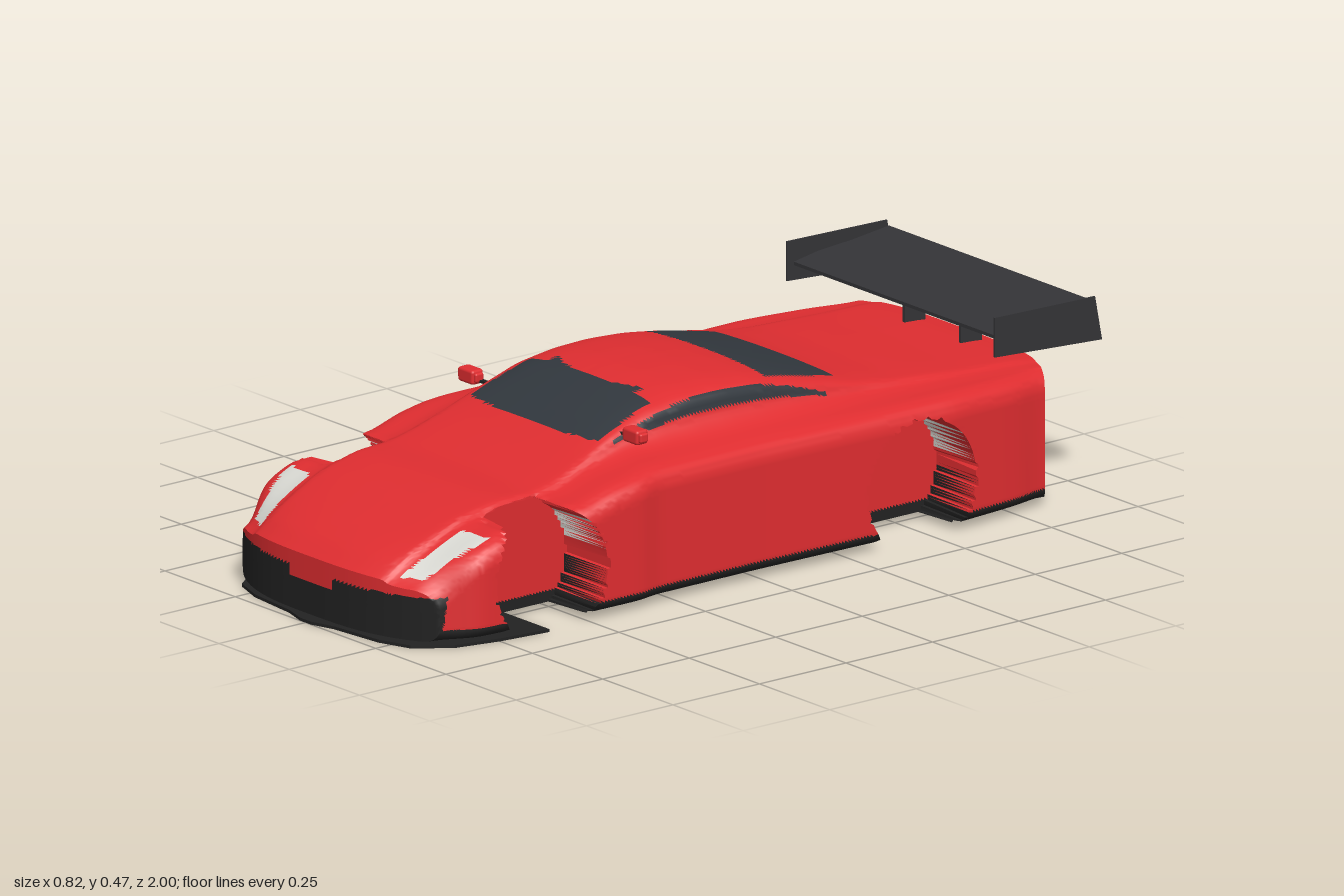
import * as THREE from 'three';
import { toCreasedNormals } from 'three/addons/utils/BufferGeometryUtils.js';
import { RoundedBoxGeometry } from 'three/addons/geometries/RoundedBoxGeometry.js';

const mat = (color, double) => new THREE.MeshStandardMaterial({ color, side: double ? THREE.DoubleSide : THREE.FrontSide });
const paint = mat(0xdf2d30), trim = mat(0x222222, true), glass = mat(0x31373d), lamp = mat(0xd8d8d2), carbon = mat(0x343437, true);

function add(parent, name, geometry, material, x = 0, y = 0, z = 0) {
  const mesh = new THREE.Mesh(geometry, material);
  mesh.name = name;
  mesh.position.set(x, y, z);
  parent.add(mesh);
  return mesh;
}

// Piecewise profile along z, softened by averaging neighbouring samples
function profile(points) {
  const linear = z => {
    if (z <= points[0][0]) return points[0][1];
    for (let i = 1; i < points.length; i++) {
      const [z0, v0] = points[i - 1], [z1, v1] = points[i];
      if (z <= z1) return v0 + (v1 - v0) * (z - z0) / (z1 - z0);
    }
    return points[points.length - 1][1];
  };
  return z => (linear(z - 0.022) + 2 * linear(z) + linear(z + 0.022)) / 4;
}

const topLine = profile([[-0.9, 0.32], [-0.85, 0.326], [-0.7, 0.332], [-0.6, 0.34], [-0.5, 0.347], [-0.4, 0.363], [-0.3, 0.388],
  [-0.2, 0.412], [-0.1, 0.43], [0, 0.438], [0.1, 0.436], [0.2, 0.42], [0.3, 0.38], [0.4, 0.333], [0.47, 0.305], [0.55, 0.285],
  [0.65, 0.284], [0.75, 0.264], [0.9, 0.205], [0.96, 0.176], [0.985, 0.148]]);
const shoulderLine = profile([[-0.9, 0.312], [-0.6, 0.318], [0, 0.318], [0.3, 0.316], [0.42, 0.295], [0.5, 0.27],
  [0.65, 0.262], [0.75, 0.24], [0.9, 0.178], [0.985, 0.132]]);
const halfWidth = profile([[-0.9, 0.365], [-0.7, 0.388], [-0.55, 0.402], [-0.3, 0.396], [0, 0.39], [0.3, 0.392], [0.35, 0.404],
  [0.5, 0.402], [0.7, 0.396], [0.8, 0.39], [0.9, 0.368], [0.985, 0.345]]);
const cabinWidth = profile([[-0.9, 0.29], [-0.4, 0.27], [0, 0.262], [0.3, 0.255], [0.5, 0.27], [0.985, 0.24]]);

const wells = [{ z: 0.61, y: 0.13 }, { z: -0.46, y: 0.13 }], wellRadius = 0.155, wellDepth = 0.26;
const REAR = -0.9, FRONT = 0.985;
// Samples used on each span of the half section, floor to roof
const spans = [10, 2, 2, 36, 4, 4, 4, 4, 5, 4, 7, 8];

// Right half of the body section at z, from floor centre to roof centre
function halfSection(z) {
  const t = topLine(z), s = shoulderLine(z), w = halfWidth(z), c = cabinWidth(z), h = t - s;
  const pts = [[0, 0.018], [w - 0.03, 0.018], [w - 0.008, 0.024], [w + 0.004, 0.042], [w, s - 0.045], [w - 0.012, s - 0.014],
    [w - 0.04, s], [c + 0.035, s + 0.14 * h], [c, s + 0.38 * h], [c - 0.014, s + 0.72 * h], [c - 0.055, s + 0.88 * h],
    [0.1, s + 0.98 * h], [0, t]].map(p => new THREE.Vector3(p[0], p[1], 0));
  const curve = new THREE.CatmullRomCurve3(pts, false, 'centripetal');
  const out = [];
  spans.forEach((n, k) => {
    for (let i = 0; i < n; i++) {
      const f = i / n;
      // straight floor and sides, curved elsewhere
      out.push(k === 0 || k === 3 ? pts[k].clone().lerp(pts[k + 1], f) : curve.getPoint((k + f) / spans.length));
    }
  });
  out.push(pts[pts.length - 1]);
  return out;
}

// Bends the ends round in plan and presses the wheel wells inwards
function shapePoint(p, z) {
  const w = halfWidth(z), u = Math.abs(p.x) / w;
  const f = THREE.MathUtils.smoothstep(z, 0.78, FRONT), r = THREE.MathUtils.smoothstep(-z, 0.72, -REAR);
  let x = p.x, y = p.y, zz = z - 0.085 * f * u ** 3 + 0.06 * r * u ** 4;
  for (const well of wells) {
    const dz = zz - well.z, dy = y - well.y, d = Math.hypot(dz, dy);
    if (Math.abs(x) <= wellDepth) continue;
    if (d < wellRadius) x = Math.sign(x) * wellDepth;
    else if (d < wellRadius + 0.007) {
      zz = well.z + dz * wellRadius / d;
      y = well.y + dy * wellRadius / d;
    }
  }
  return [x, y, zz];
}

// Chooses the finish of a body face from its centre and normal
function finish(c, n) {
  const x = Math.abs(c.x), y = c.y;
  if (y < 0.045) return 'lowerTrim';
  if (n.z > 0.15) {
    if (y < 0.12 && x < 0.352 && (x > 0.077 || y < 0.093)) return 'lowerTrim';
    const t = (y - 0.155) / 0.083;
    if (t > 0 && t < 1 && x > 0.25 + 0.022 * t && x < 0.3 + 0.056 * t) return 'headlights';
    if (y > 0.353 && y < 0.423 && x < 0.225 - 0.2 * (y - 0.355)) return 'windows';
  }
  if (n.z < -0.25 && y > 0.09 && y < 0.2 && x > 0.21) return 'lowerTrim';
  if (n.y > 0.5 && x < 0.217 && c.z < -0.15 && c.z > -0.35) return 'windows';
  const u = (c.z - 0.01) / 0.3;
  if (x > 0.19 && Math.abs(u) < 1 && y < 0.411 - 0.058 * u * u && y > 0.376 - 0.03 * u * u) return 'windows';
  return 'paintwork';
}

function buildBody(group) {
  const rings = [], steps = 210, capSteps = 9;
  const ring = (z, squash) => {
    const half = halfSection(z), mid = (half[0].y + half[half.length - 1].y) / 2;
    const full = [...half, ...half.slice(1, -1).reverse().map(p => new THREE.Vector3(-p.x, p.y, 0))];
    rings.push(full.map(p => shapePoint(new THREE.Vector3(p.x, THREE.MathUtils.lerp(p.y, mid, squash), 0), z)));
  };
  for (let k = 0; k < capSteps; k++) ring(REAR, 1 - k / capSteps);
  for (let i = 0; i <= steps; i++) ring(REAR + (FRONT - REAR) * i / steps, 0);
  for (let k = 1; k <= capSteps; k++) ring(FRONT, k / capSteps);

  const m = rings[0].length, index = [];
  const flat = rings.flat();
  const v = flat.map(p => new THREE.Vector3(...p));
  const face = (a, b, c) => {
    const tri = new THREE.Triangle(v[a], v[b], v[c]);
    if (tri.getArea() > 1e-9) index.push(a, b, c);
  };
  for (let i = 0; i < rings.length - 1; i++) for (let j = 0; j < m; j++) {
    const a = i * m + j, b = i * m + (j + 1) % m;
    face(a, b, b + m);
    face(a, b + m, a + m);
  }
  let geo = new THREE.BufferGeometry();
  geo.setAttribute('position', new THREE.Float32BufferAttribute(flat.flat(), 3));
  geo.setIndex(index);
  geo = toCreasedNormals(geo, 0.75);

  // Split the shell into its finishes
  const pos = geo.attributes.position, parts = { paintwork: [], lowerTrim: [], headlights: [], windows: [] };
  const tri = new THREE.Triangle(), c = new THREE.Vector3(), n = new THREE.Vector3();
  for (let i = 0; i < pos.count; i += 3) {
    tri.setFromAttributeAndIndices(pos, i, i + 1, i + 2);
    tri.getMidpoint(c);
    tri.getNormal(n);
    parts[finish(c, n)].push(i, i + 1, i + 2);
  }
  const materials = { paintwork: paint, lowerTrim: trim, headlights: lamp, windows: glass };
  for (const name in parts) {
    const g = new THREE.BufferGeometry();
    for (const key of ['position', 'normal']) {
      const src = geo.attributes[key].array;
      g.setAttribute(key, new THREE.Float32BufferAttribute(parts[name].flatMap(i => [src[3 * i], src[3 * i + 1], src[3 * i + 2]]), 3));
    }
    add(group, name, g, materials[name]);
  }
}

// Extrudes a (z, y) outline sideways, centred on x = 0
function sidePlate(points, width) {
  const shape = new THREE.Shape(points.map(([z, y]) => new THREE.Vector2(-z, y)));
  return new THREE.ExtrudeGeometry(shape, { depth: width, bevelEnabled: false }).translate(0, 0, -width / 2).rotateY(Math.PI / 2);
}

// Extrudes the right half of an (x, z) plan, mirrored, upwards from y = 0
function floorPlate(half, height) {
  const outline = [...half, ...half.slice().reverse().map(([x, z]) => [-x, z])];
  const shape = new THREE.Shape(outline.map(([x, z]) => new THREE.Vector2(x, -z)));
  return new THREE.ExtrudeGeometry(shape, { depth: height, bevelEnabled: false }).rotateX(-Math.PI / 2);
}

export function createModel() {
  const car = new THREE.Group();
  car.name = 'raceCar';
  const body = new THREE.Group();
  body.name = 'body';
  car.add(body);
  buildBody(body);

  // Front splitter and rear diffuser
  add(car, 'frontSplitter', floorPlate([[0.02, 1], [0.08, 0.982], [0.22, 0.968], [0.3, 0.94], [0.36, 0.86], [0.385, 0.75], [0.4, 0.62]], 0.007), trim, 0, 0.002);
  add(car, 'rearDiffuser', floorPlate([[0.32, -0.72], [0.34, -0.86], [0.28, -0.905]], 0.008), trim, 0, 0.014);
  for (const x of [-0.27, -0.09, 0.09, 0.27])
    add(car, 'diffuserFin', new THREE.BoxGeometry(0.006, 0.045, 0.09), trim, x, 0.04, -0.86);

  // Rear wing
  const wing = new THREE.Group();
  wing.name = 'rearWing';
  car.add(wing);
  add(wing, 'wingBlade', sidePlate([[-0.71, 0.416], [-0.71, 0.424], [-0.78, 0.436], [-0.88, 0.443], [-0.985, 0.455],
    [-0.985, 0.449], [-0.88, 0.43], [-0.78, 0.417]], 0.738), carbon);
  for (const s of [-1, 1]) {
    add(wing, 'endPlate', sidePlate([[-0.69, 0.475], [-0.98, 0.469], [-1, 0.364], [-0.69, 0.382]], 0.004), carbon, s * 0.37);
    add(wing, 'wingSupport', sidePlate([[-0.81, 0.31], [-0.81, 0.43], [-0.87, 0.436], [-0.87, 0.31]], 0.008), carbon, s * 0.1);

    // Door mirrors
    const mirror = new THREE.Group();
    mirror.name = s > 0 ? 'leftMirror' : 'rightMirror';
    car.add(mirror);
    add(mirror, 'mirrorHousing', new RoundedBoxGeometry(0.054, 0.034, 0.034, 2, 0.007), paint, s * 0.293, 0.373, 0.285);
    add(mirror, 'mirrorCap', new RoundedBoxGeometry(0.068, 0.022, 0.024, 2, 0.005), paint, s * 0.293, 0.373, 0.285);
    add(mirror, 'mirrorArm', new THREE.BoxGeometry(0.05, 0.006, 0.012), trim, s * 0.26, 0.365, 0.28);
  }
  return car;
}
